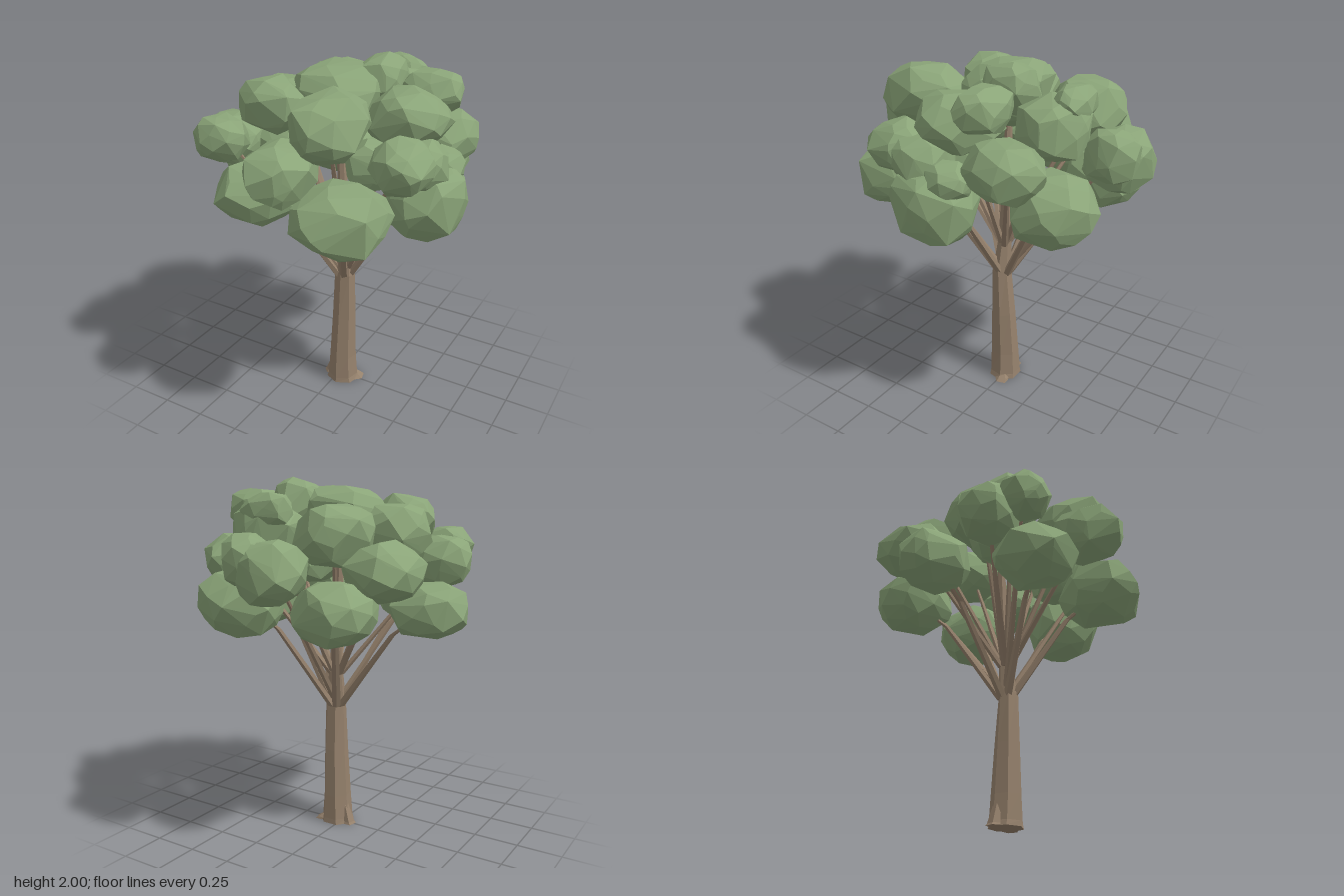
import * as THREE from 'three';
import { ConvexGeometry } from 'three/addons/geometries/ConvexGeometry.js';

const leaf = new THREE.MeshStandardMaterial({ color: 0x8aa478 });
leaf.name = 'leaf green';
const bark = new THREE.MeshStandardMaterial({ color: 0x95816c });
bark.name = 'bark brown';

// Small seeded random number
let seed = 7;
function rand() {
  seed = (seed * 16807) % 2147483647;
  return seed / 2147483647;
}

// Faceted limb through rings of [x, y, z, radiusX, radiusZ], listed bottom to top
function limb(name, rings, sides) {
  const n = rings.length - 1;
  const geo = new THREE.CylinderGeometry(1, 1, 1, sides, n);
  const p = geo.attributes.position;
  for (let i = 0; i < p.count; i++) {
    const r = rings[Math.round((p.getY(i) + 0.5) * n)];
    p.setXYZ(i, r[0] + p.getX(i) * r[3], r[1], r[2] + p.getZ(i) * r[4]);
  }
  const flat = geo.toNonIndexed();
  flat.computeVertexNormals();
  const mesh = new THREE.Mesh(flat, bark);
  mesh.name = name;
  return mesh;
}

// Faceted leaf clump: hull of jittered points on a slightly boxy ball, sized to its radii
function clump([x, y, z, rx, ry, rz]) {
  const pts = [];
  const count = 44, turn = rand() * 6.28;
  const soft = (v) => Math.sign(v) * Math.pow(Math.abs(v), 0.9);
  for (let i = 0; i < count; i++) {
    const h = 1 - (2 * (i + 0.5)) / count;
    const a = turn + i * 2.39996 + (rand() - 0.5) * 0.8;
    const s = Math.sqrt(1 - h * h);
    const k = 0.88 + rand() * 0.16;
    pts.push(new THREE.Vector3(soft(s * Math.cos(a)), soft(h), soft(s * Math.sin(a))).multiplyScalar(k));
  }
  const geo = new ConvexGeometry(pts);
  geo.center();
  geo.computeBoundingBox();
  const half = geo.boundingBox.max;
  geo.scale(rx / half.x, ry / half.y, rz / half.z);
  const mesh = new THREE.Mesh(geo, leaf);
  mesh.position.set(x, y, z);
  mesh.name = 'leafClump';
  return mesh;
}

// Clumps as [x, y, z, radiusX, radiusY, radiusZ]
const lowerTier = [
  [-0.55, 1.32, -0.04, 0.215, 0.15, 0.19],
  [-0.25, 1.33, 0.42, 0.225, 0.155, 0.22],
  [0.29, 1.335, 0.51, 0.225, 0.17, 0.24],
  [0.55, 1.35, 0.08, 0.21, 0.2, 0.24],
  [0.33, 1.355, -0.46, 0.22, 0.18, 0.23],
  [-0.24, 1.33, -0.45, 0.22, 0.165, 0.2],
];
const middleTier = [
  [-0.48, 1.55, 0.27, 0.175, 0.14, 0.16],
  [-0.42, 1.61, 0.46, 0.15, 0.12, 0.135],
  [0.01, 1.55, 0.59, 0.175, 0.155, 0.22],
  [0.52, 1.59, 0.31, 0.15, 0.14, 0.16],
  [0.48, 1.56, -0.3, 0.185, 0.14, 0.21],
  [-0.01, 1.54, -0.64, 0.19, 0.165, 0.17],
  [-0.44, 1.54, -0.28, 0.19, 0.155, 0.22],
];
const upperTier = [
  [-0.25, 1.765, 0.27, 0.195, 0.15, 0.15],
  [-0.28, 1.71, 0.07, 0.22, 0.15, 0.19],
  [0.17, 1.75, 0.41, 0.195, 0.17, 0.24],
  [0.42, 1.73, 0.02, 0.21, 0.15, 0.2],
  [0.21, 1.71, -0.38, 0.2, 0.165, 0.19],
  [-0.19, 1.71, -0.37, 0.195, 0.155, 0.21],
  [0.0, 1.79, 0.0, 0.25, 0.165, 0.22],
];
// Smaller clumps resting on or between larger ones
const tufts = [
  [0.18, 1.87, -0.13, 0.13, 0.13, 0.16],
  [0.47, 1.83, -0.15, 0.16, 0.11, 0.13],
  [0.14, 1.83, -0.46, 0.14, 0.09, 0.1],
  [0.13, 1.6, -0.66, 0.12, 0.13, 0.14],
  [0.53, 1.55, 0.16, 0.16, 0.13, 0.15],
  [0.59, 1.49, -0.02, 0.11, 0.1, 0.13],
  [0.31, 1.52, 0.2, 0.15, 0.13, 0.15],
  [-0.24, 1.53, 0.16, 0.15, 0.12, 0.15],
];

// Branch leaving the trunk, bending outward and ending inside a clump
function branch(end, startY, radius, lift) {
  const [x, y, z] = end;
  const cx = 0.04, cz = 0.01;
  const a = Math.atan2(z - cz, x - cx);
  const sx = cx + 0.025 * Math.cos(a), sz = cz + 0.025 * Math.sin(a);
  const at = (t, up, r) => [
    sx + (x - sx) * t, startY + (y - startY) * t + up, sz + (z - sz) * t, r, r,
  ];
  return limb('branch', [
    at(0, 0, radius), at(0.3, lift * 0.5, radius * 0.85),
    at(0.62, lift, radius * 0.65), at(0.95, 0.02, radius * 0.4),
  ], 5);
}

export function createModel() {
  const tree = new THREE.Group();
  tree.name = 'tree';

  // Trunk with its flared foot
  const trunk = new THREE.Group();
  trunk.name = 'trunk';
  trunk.add(limb('trunkStem', [
    [0.035, 0, 0.01, 0.1, 0.095],
    [0.035, 0.03, 0.01, 0.09, 0.092],
    [0.037, 0.17, 0.012, 0.078, 0.087],
    [0.045, 0.45, 0.014, 0.069, 0.072],
    [0.05, 0.74, 0.02, 0.06, 0.053],
    [0.04, 0.95, 0.005, 0.038, 0.036],
    [0.02, 1.35, 0.0, 0.028, 0.028],
    [0.0, 1.75, 0.0, 0.015, 0.015],
  ], 7));
  for (const [x, z, h] of [[-0.06, 0.0, 0.17], [0.125, -0.02, 0.05]]) {
    trunk.add(limb('root', [
      [x, 0, z, 0.034, 0.045], [x * 0.9, 0.012, z, 0.03, 0.04],
      [x * 0.5 + 0.017, h, z * 0.5, 0.008, 0.015],
    ], 5));
  }
  tree.add(trunk);

  // Branches, one to each clump
  const branches = new THREE.Group();
  branches.name = 'branches';
  lowerTier.forEach((c) => branches.add(branch(c, 0.71, 0.026, 0.08)));
  middleTier.forEach((c, i) => branches.add(branch(c, i % 2 ? 0.76 : 0.9, 0.022, 0.02)));
  upperTier.slice(0, 6).forEach((c) => branches.add(branch(c, 0.92, 0.02, 0.02)));
  tree.add(branches);

  // Leaf crown
  const crown = new THREE.Group();
  crown.name = 'crown';
  [...lowerTier, ...middleTier, ...upperTier, ...tufts].forEach((c) => crown.add(clump(c)));
  tree.add(crown);
  return tree;
}
